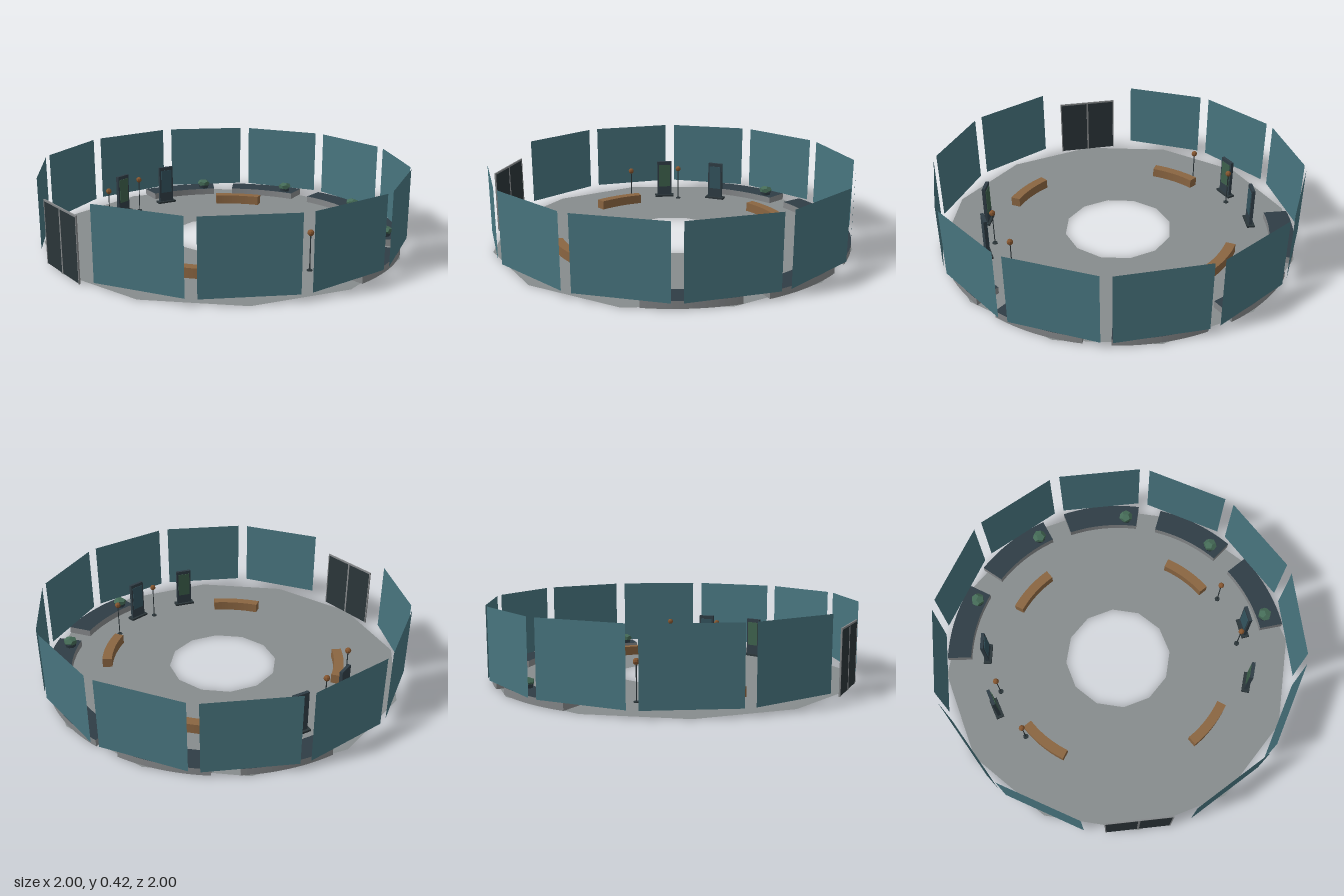
import * as THREE from 'three';

const mat = (name, color, extra = {}) => {
  const m = new THREE.MeshStandardMaterial({ color, ...extra });
  m.name = name;
  return m;
};

export function createModel() {
  const root = new THREE.Group();
  root.name = 'roundGallery';

  const floorGrey = mat('floorGrey', 0x878c8d, { side: THREE.DoubleSide });
  const kerbGrey = mat('kerbGrey', 0x85888a);
  const slate = mat('slate', 0x2f3d45);
  const glass = mat('tealGlass', 0x48757f, { side: THREE.DoubleSide });
  const wood = mat('wood', 0x8a6541);
  const leaf = mat('leafGreen', 0x456b57, { flatShading: true });
  const charcoal = mat('charcoal', 0x2b3539);
  const screenTeal = mat('screenTeal', 0x33535e);
  const screenGreen = mat('screenGreen', 0x3d5f4b);
  const bronze = mat('bronze', 0x84552f, { flatShading: true });

  const add = (parent, name, geometry, material, x = 0, y = 0, z = 0) => {
    const mesh = new THREE.Mesh(geometry, material);
    mesh.name = name;
    mesh.position.set(x, y, z);
    parent.add(mesh);
    return mesh;
  };
  const group = (name, x = 0, z = 0, turn = 0) => {
    const g = new THREE.Group();
    g.name = name;
    g.position.set(x, 0, z);
    g.rotation.y = turn;
    root.add(g);
    return g;
  };

  // Curved slab; centred on the back (-z), then turned clockwise from above
  const arcSlab = (inner, outer, half, height, turn) => {
    const s = new THREE.Shape();
    s.absarc(0, 0, outer, Math.PI / 2 - half, Math.PI / 2 + half, false);
    s.absarc(0, 0, inner, Math.PI / 2 + half, Math.PI / 2 - half, true);
    s.closePath();
    return new THREE.ExtrudeGeometry(s, { depth: height, bevelEnabled: false, curveSegments: 8 })
      .rotateX(-Math.PI / 2).rotateY(-turn);
  };

  // Twelve-sided floor with an open centre
  add(root, 'floor', new THREE.RingGeometry(0.305, 1, 12, 1).rotateX(-Math.PI / 2), floorGrey, 0, 0.001, 0);

  // Glass wall panels, leaving the front bay for the door
  for (let i = 1; i < 12; i++) {
    const a = i * Math.PI / 6;
    const p = add(root, 'wallPanel', new THREE.PlaneGeometry(0.47, 0.385), glass,
      0.988 * Math.sin(a), 0.2325, 0.988 * Math.cos(a));
    p.rotation.y = a;
  }

  // Double door with its frame
  const door = group('door', 0, 0.99);
  for (const s of [-1, 1]) {
    add(door, 'doorLeaf', new THREE.BoxGeometry(0.166, 0.33, 0.005), charcoal, s * 0.088, 0.167, 0);
    add(door, 'doorJamb', new THREE.BoxGeometry(0.006, 0.34, 0.008), kerbGrey, s * 0.174, 0.17, 0);
  }
  add(door, 'doorMullion', new THREE.BoxGeometry(0.011, 0.34, 0.008), kerbGrey, 0, 0.17, 0);
  add(door, 'doorHeader', new THREE.BoxGeometry(0.354, 0.009, 0.008), kerbGrey, 0, 0.3385, 0);

  // Display platforms round the back, each with a shrub
  for (let i = -2; i <= 2; i++) {
    const a = i * 0.62, b = a + 0.163;
    add(root, 'platform', arcSlab(0.855, 0.99, 0.24, 0.038, a), [slate, kerbGrey], 0, 0.002, 0);
    const plant = group('plant', 0.898 * Math.sin(b), -0.898 * Math.cos(b), -b);
    add(plant, 'plantPot', new THREE.CylinderGeometry(0.034, 0.03, 0.02, 8), slate, 0, 0.05, 0);
    add(plant, 'shrub', new THREE.DodecahedronGeometry(0.041).scale(1, 0.6, 1), leaf, 0, 0.071, 0);
  }

  // Four curved benches on the diagonals
  for (let i = 0; i < 4; i++) {
    add(root, 'bench', arcSlab(0.63, 0.684, 0.214, 0.053, Math.PI / 4 + i * Math.PI / 2), wood, 0, 0.002, 0);
  }

  // Information kiosks, local -x faces the centre on the left side
  for (const side of [-1, 1]) {
    for (const [z, screen] of [[-0.1, screenTeal], [0.235, screenGreen]]) {
      const x = side * Math.sqrt(0.761 ** 2 - z * z);
      const kiosk = group('kiosk', x, z, Math.atan2(-z, x));
      add(kiosk, 'kioskFoot', new THREE.BoxGeometry(0.045, 0.012, 0.12), charcoal, 0, 0.006, 0);
      add(kiosk, 'kioskBody', new THREE.BoxGeometry(0.018, 0.227, 0.092), slate, 0, 0.1215, 0);
      add(kiosk, 'kioskScreen', new THREE.BoxGeometry(0.004, 0.145, 0.072), screen, -0.01, 0.142, 0);
    }
  }

  // Slim posts with round heads
  for (const [x, z] of [[0.635, -0.305], [0.705, -0.01], [-0.695, 0.135], [-0.57, 0.415]]) {
    const post = group('post', x, z);
    add(post, 'postFoot', new THREE.CylinderGeometry(0.015, 0.015, 0.006, 10), charcoal, 0, 0.003, 0);
    add(post, 'postStem', new THREE.CylinderGeometry(0.003, 0.003, 0.19, 6), charcoal, 0, 0.1, 0);
    add(post, 'postHead', new THREE.SphereGeometry(0.017, 8, 6), bronze, 0, 0.2, 0);
  }

  return root;
}
